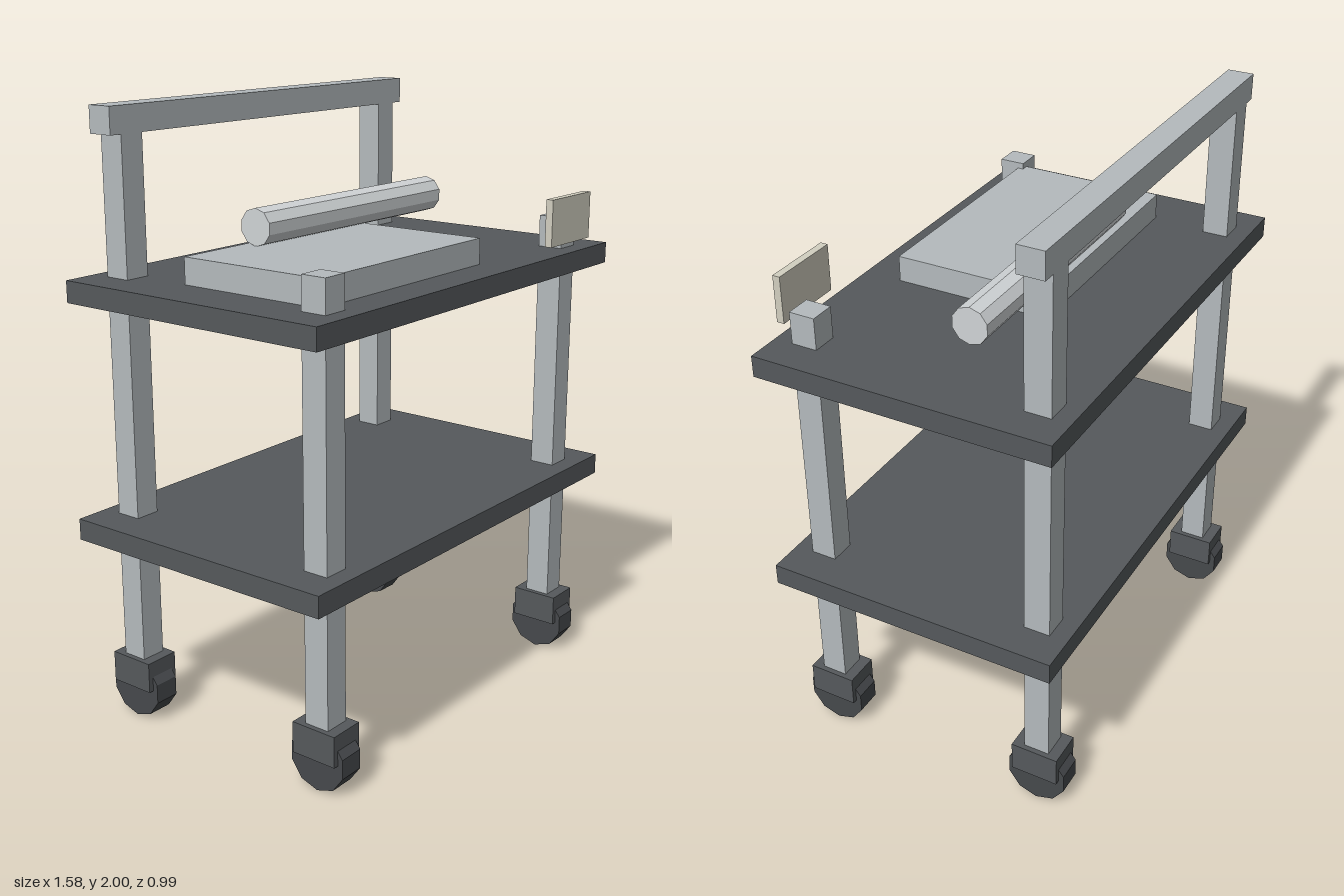
import * as THREE from 'three';

const paint = (color) => new THREE.MeshStandardMaterial({ color, flatShading: true });

export function createModel() {
  const cart = new THREE.Group();
  cart.name = 'utilityCart';

  const metal = paint(0xb4babd);
  const dark = paint(0x55595c);
  const rubber = paint(0x46494c);
  const paper = paint(0xd0d4d6);
  const beige = paint(0xd2cfc0);

  // Box given by its lower and upper limits on each axis
  function box(name, [x0, x1], [y0, y1], [z0, z1], material, parent = cart) {
    const mesh = new THREE.Mesh(new THREE.BoxGeometry(x1 - x0, y1 - y0, z1 - z0), material);
    mesh.position.set((x0 + x1) / 2, (y0 + y1) / 2, (z0 + z1) / 2);
    mesh.name = name;
    parent.add(mesh);
    return mesh;
  }

  // Ten-sided cylinder along x, with a corner pointing straight up
  function barX(name, radius, length, position, material, parent = cart) {
    const geometry = new THREE.CylinderGeometry(radius, radius, length, 10, 1, false, Math.PI / 2);
    geometry.rotateZ(Math.PI / 2);
    const mesh = new THREE.Mesh(geometry, material);
    mesh.position.set(...position);
    mesh.name = name;
    parent.add(mesh);
    return mesh;
  }

  // Two shelves
  box('lowerShelf', [-0.79, 0.79], [0.635, 0.705], [-0.495, 0.485], dark);
  box('upperShelf', [-0.79, 0.79], [1.407, 1.477], [-0.495, 0.485], dark);

  // Four posts, each on a caster; the rear pair rises to the handle
  const half = 0.043;
  for (const side of [-1, 1]) {
    for (const [end, z, top] of [['front', 0.38, 1.582], ['back', -0.392, 1.915]]) {
      const x = side * 0.632;
      box(end + 'Post', [x - half, x + half], [0.2, top], [z - half, z + half], metal);

      const caster = new THREE.Group();
      caster.name = end + 'Caster';
      caster.position.set(x, 0, z);
      box('casterBracket', [-0.06, 0.06], [0.11, 0.212], [-0.08, 0.08], dark, caster);
      barX('casterWheel', 0.103, 0.086, [0, 0.103, 0], rubber, caster);
      cart.add(caster);
    }
  }

  // Push handle across the rear posts
  box('handleBar', [-0.718, 0.718], [1.915, 2], [-0.435, -0.349], metal);

  // Items on the upper shelf
  box('flatPack', [-0.615, 0.19], [1.477, 1.562], [-0.165, 0.357], metal);
  barX('roll', 0.06, 0.91, [0.102, 1.62, -0.113], paper);

  // Label plate at the front edge
  box('labelPlate', [0.402, 0.645], [1.515, 1.67], [0.47, 0.495], beige);

  return cart;
}
